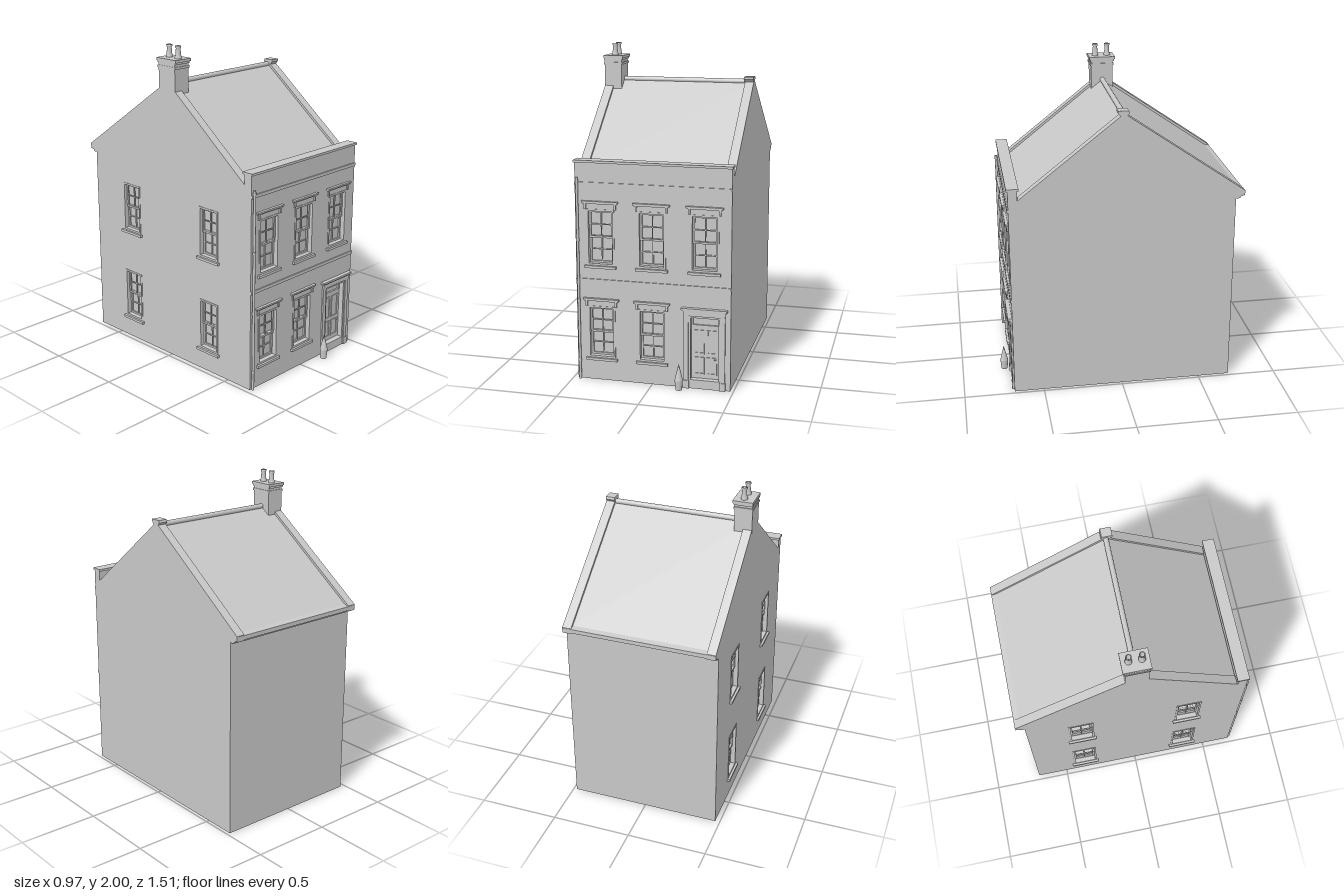
import * as THREE from 'three';

const stone = new THREE.MeshStandardMaterial({ color: 0xc8c8c8, side: THREE.DoubleSide });
stone.name = 'stone grey';

const LEFT = -0.47, RIGHT = 0.48, FRONT = 0.686, BACK = -0.70;
const MID = (LEFT + RIGHT) / 2, WIDTH = RIGHT - LEFT;
const RIDGE = [-0.007, 1.79], EAVE = [-0.755, 1.27], GUTTER = [0.625, 1.29];

function add(parent, name, geometry, x = 0, y = 0, z = 0) {
  const mesh = new THREE.Mesh(geometry, stone);
  mesh.name = name;
  mesh.position.set(x, y, z);
  parent.add(mesh);
  return mesh;
}

// Box given by its limits on each axis
function box(parent, name, x0, x1, y0, y1, z0, z1) {
  return add(parent, name, new THREE.BoxGeometry(x1 - x0, y1 - y0, z1 - z0),
    (x0 + x1) / 2, (y0 + y1) / 2, (z0 + z1) / 2);
}

const outline = points => new THREE.Shape(points.map(p => new THREE.Vector2(p[0], p[1])));
const rect = (x0, x1, y0, y1) => [[x0, y0], [x1, y0], [x1, y1], [x0, y1]];

function sheet(parent, name, points, holes) {
  const shape = outline(points);
  holes.forEach(h => shape.holes.push(outline(rect(...h))));
  return add(parent, name, new THREE.ShapeGeometry(shape));
}

// Flat frame with an opening, running from z0 to z1
function frame(parent, name, x0, x1, y0, y1, t, z0, z1) {
  const shape = outline(rect(x0, x1, y0, y1));
  shape.holes.push(outline(rect(x0 + t, x1 - t, y0 + t, y1 - t)));
  add(parent, name, new THREE.ExtrudeGeometry(shape, { depth: z1 - z0, bevelEnabled: false }), 0, 0, z0);
}

// Profile in (z, y) drawn out along x
function alongX(parent, name, points, x0, x1) {
  const geo = new THREE.ExtrudeGeometry(outline(points.map(([z, y]) => [-z, y])),
    { depth: x1 - x0, bevelEnabled: false });
  geo.rotateY(Math.PI / 2);
  return add(parent, name, geo, x0, 0, 0);
}

// Sash window in a recess; the wall face is z = 0
function sashWindow(wall, [x0, x1, y0, y1], hooded) {
  const g = new THREE.Group();
  g.name = 'sashWindow';
  wall.add(g);
  frame(g, 'windowCase', x0, x1, y0, y1, 0.012, -0.045, 0.003);
  const a = x0 + 0.012, b = x1 - 0.012, c = y0 + 0.012, d = y1 - 0.012;
  const mid = (c + d) / 2, centre = (a + b) / 2;
  box(g, 'glass', a, b, c, d, -0.04, -0.037);
  [[c, mid + 0.006, -0.037], [mid - 0.006, d, -0.027]].forEach(([s0, s1, z]) => {
    frame(g, 'sash', a, b, s0, s1, 0.011, z, z + 0.01);
    box(g, 'verticalBar', centre - 0.003, centre + 0.003, s0, s1, z, z + 0.008);
    const m = (s0 + s1) / 2;
    box(g, 'crossBar', a, b, m - 0.003, m + 0.003, z, z + 0.008);
  });
  box(g, 'sill', x0 - 0.012, x1 + 0.012, y0 - 0.016, y0, -0.02, 0.017);
  if (!hooded) return;
  box(g, 'hood', x0 - 0.026, x1 + 0.026, y1 + 0.04, y1 + 0.05, 0, 0.018);
  box(g, 'hoodMoulding', x0 - 0.02, x1 + 0.02, y1 + 0.033, y1 + 0.04, 0, 0.012);
  [x0 - 0.012, x1].forEach(x => box(g, 'hoodBracket', x, x + 0.012, y1, y1 + 0.033, 0, 0.009));
}

function addFront(house) {
  const wall = new THREE.Group();
  wall.name = 'frontWall';
  wall.position.z = FRONT;
  house.add(wall);

  const windows = [];
  [-0.315, 0, 0.32].forEach((x, i) => {
    windows.push([x - 0.086, x + 0.086, 0.725, 1.07]);
    if (i < 2) windows.push([x - 0.086, x + 0.086, 0.142, 0.47]);
  });
  const door = [0.225, 0.42, 0.01, 0.455];
  sheet(wall, 'frontWallFace', rect(LEFT, RIGHT, 0, 1.35), [...windows, door]);
  windows.forEach(w => sashWindow(wall, w, true));

  // String courses
  [[0.62, 0.64], [1.212, 1.232]].forEach(([a, b]) =>
    box(wall, 'stringCourse', LEFT, RIGHT, a, b, 0, 0.007));

  // Doorway
  frame(wall, 'doorCase', 0.225, 0.42, 0.01, 0.455, 0.012, -0.05, 0.004);
  box(wall, 'doorStep', 0.225, 0.42, 0, 0.055, -0.05, 0.006);
  box(wall, 'doorLeaf', 0.237, 0.408, 0.055, 0.382, -0.045, -0.03);
  box(wall, 'fanlight', 0.237, 0.408, 0.382, 0.445, -0.045, -0.04);
  frame(wall, 'fanlightFrame', 0.237, 0.408, 0.382, 0.445, 0.009, -0.04, -0.028);
  [[0.08, 0.19], [0.21, 0.36]].forEach(([a, b]) => [0.253, 0.33].forEach(x =>
    frame(wall, 'doorPanel', x, x + 0.062, a, b, 0.008, -0.03, -0.025)));
  add(wall, 'doorKnob', new THREE.SphereGeometry(0.007, 12, 8), 0.383, 0.182, -0.024);
  [[0.197, 0.225], [0.42, 0.448]].forEach(([a, b]) => {
    box(wall, 'pilaster', a, b, 0, 0.455, 0, 0.01);
    box(wall, 'pilasterBase', a - 0.005, b + 0.004, 0, 0.05, 0, 0.014);
  });
  box(wall, 'doorLintel', 0.197, 0.448, 0.455, 0.485, 0, 0.012);
  box(wall, 'doorHoodMoulding', 0.19, 0.455, 0.485, 0.493, 0, 0.019);
  box(wall, 'doorHood', 0.183, 0.462, 0.493, 0.505, 0, 0.026);

  // Drainpipe
  add(wall, 'drainpipe', new THREE.CylinderGeometry(0.008, 0.008, 1.26, 12), -0.454, 0.63, 0.011);
  [0.12, 0.5, 0.88, 1.24].forEach(y =>
    add(wall, 'pipeCollar', new THREE.CylinderGeometry(0.01, 0.01, 0.015, 12), -0.454, y, 0.01));

  // Parapet
  box(house, 'parapet', LEFT, RIGHT, 1.2, 1.35, 0.63, FRONT - 0.001);
  box(house, 'parapetCoping', LEFT - 0.005, RIGHT + 0.005, 1.348, 1.362, 0.62, 0.695);
}

function addSides(house) {
  const gable = [[BACK, 0], [FRONT, 0], [FRONT, 1.35], [0.63, 1.35], [0.63, 1.286],
    RIDGE, [EAVE[0], EAVE[1]], [-0.745, 1.236], [BACK, 1.22]];
  const windows = [];
  [-0.358, 0.337].forEach(z => [[0.142, 0.47], [0.75, 1.07]].forEach(([a, b]) =>
    windows.push([z - 0.08, z + 0.08, a, b])));

  const left = new THREE.Group();
  left.name = 'leftGable';
  left.position.x = LEFT;
  left.rotation.y = -Math.PI / 2;
  house.add(left);
  sheet(left, 'windowedGableFace', gable, windows);
  windows.forEach(w => sashWindow(left, w, false));

  const right = new THREE.Group();
  right.name = 'rightGable';
  right.position.x = RIGHT;
  right.rotation.y = Math.PI / 2;
  house.add(right);
  sheet(right, 'plainGableFace', gable.map(([z, y]) => [-z, y]), []);

  const back = sheet(house, 'backWall', rect(-RIGHT, -LEFT, 0, 1.25), []);
  back.rotation.y = Math.PI;
  back.position.z = BACK;
}

function addRoof(house) {
  // Slopes sit slightly below the gable copings
  const band = (top, bottom) => [[GUTTER[0], GUTTER[1] - top], [RIDGE[0], RIDGE[1] - top],
    [EAVE[0], EAVE[1] - top], [EAVE[0], EAVE[1] - bottom],
    [RIDGE[0], RIDGE[1] - bottom], [GUTTER[0], GUTTER[1] - bottom]];
  alongX(house, 'roofSlopes', band(0.018, 0.03), LEFT + 0.01, RIGHT - 0.01);
  [[LEFT, LEFT + 0.055], [RIGHT - 0.055, RIGHT]].forEach(([a, b]) =>
    alongX(house, 'gableCoping', band(0, 0.035), a, b));

  const ridge = add(house, 'ridgeTile',
    new THREE.CylinderGeometry(0.016, 0.016, WIDTH - 0.1, 16), MID, 1.774, -0.01);
  ridge.rotation.z = Math.PI / 2;

  // Apex stone on the right gable
  alongX(house, 'apexStone', [[-0.035, 1.805], [0.03, 1.805], [0.03, 1.79], [0.015, 1.772],
    [-0.025, 1.772], [-0.04, 1.79]], RIGHT - 0.058, RIGHT);

  // Moulded eave at the back
  alongX(house, 'backEave', [[BACK, 1.22], [-0.725, 1.22], [-0.73, 1.235], [-0.745, 1.237],
    [-0.75, 1.25], [-0.756, 1.252], [-0.756, 1.266], [BACK, 1.28]], LEFT, RIGHT);
}

function addChimney(house) {
  box(house, 'chimneyStack', LEFT - 0.001, -0.36, 1.71, 1.9, -0.077, 0.063);
  box(house, 'chimneyBand', LEFT - 0.004, -0.355, 1.868, 1.882, -0.083, 0.069);
  box(house, 'chimneyCap', LEFT - 0.005, -0.35, 1.908, 1.925, -0.092, 0.075);
  box(house, 'chimneyCapMoulding', LEFT - 0.003, -0.355, 1.896, 1.908, -0.085, 0.069);
  const pot = [[0.021, 0], [0.021, 0.012], [0.017, 0.016], [0.014, 0.06], [0.018, 0.064],
    [0.018, 0.075], [0.012, 0.075], [0.012, 0.03], [0, 0.03]];
  [-0.047, 0.03].forEach(z => add(house, 'chimneyPot',
    new THREE.LatheGeometry(pot.map(p => new THREE.Vector2(...p)), 16), -0.41, 1.925, z));
}

export function createModel() {
  const house = new THREE.Group();
  house.name = 'terracedHouse';
  addFront(house);
  addSides(house);
  addRoof(house);
  addChimney(house);

  // Potted conical shrub by the door
  const shrub = new THREE.Group();
  shrub.name = 'pottedShrub';
  shrub.position.set(0.175, 0, 0.73);
  house.add(shrub);
  add(shrub, 'pot', new THREE.CylinderGeometry(0.025, 0.02, 0.062, 16), 0, 0.031, 0);
  add(shrub, 'foliage', new THREE.ConeGeometry(0.025, 0.103, 16), 0, 0.1135, 0);
  return house;
}
